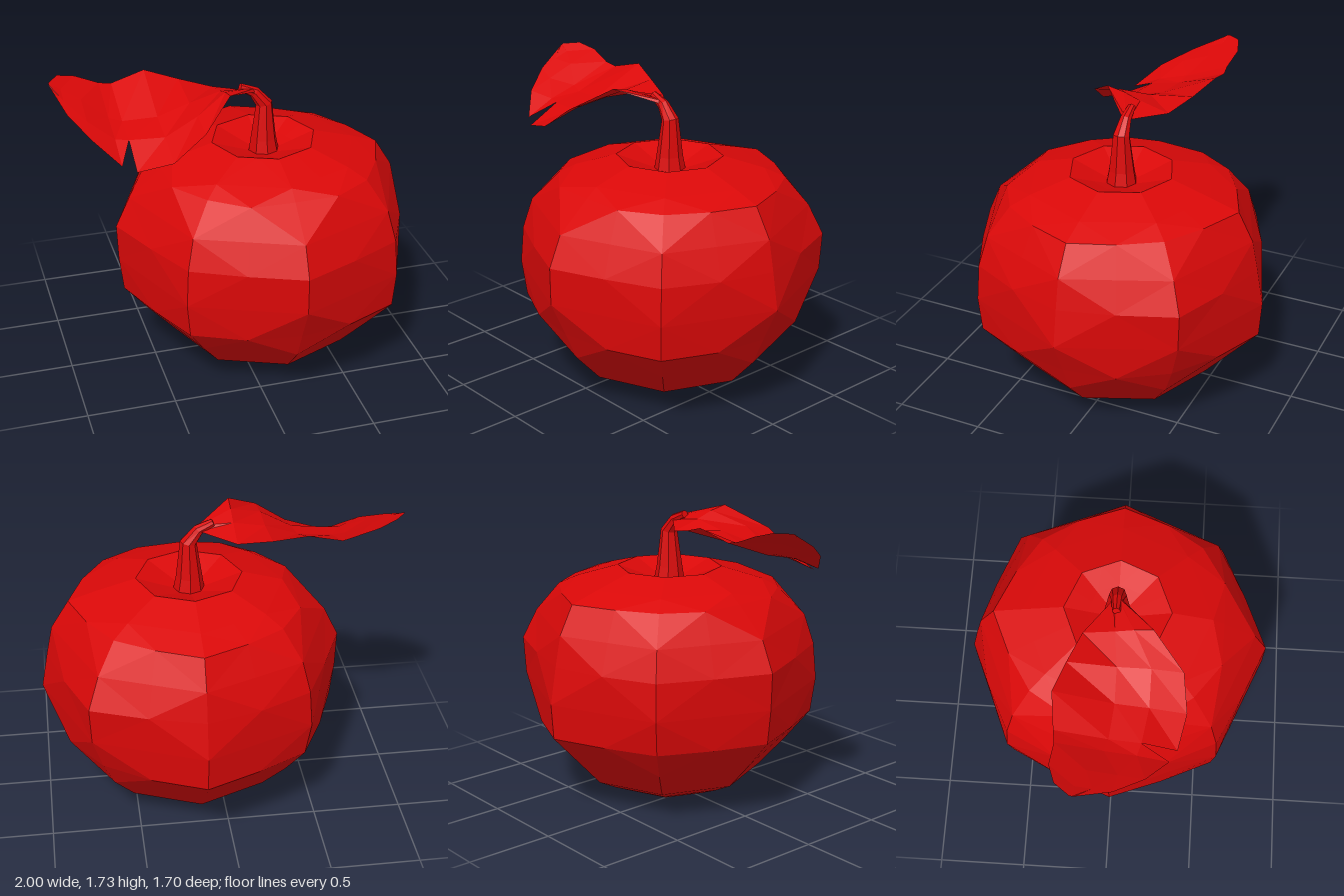
import * as THREE from 'three';

const material = new THREE.MeshStandardMaterial({ color: 0xda0808, flatShading: true, side: THREE.DoubleSide });
const CENTRE_X = 0.155;

function makeMesh(name, points, faces) {
  const geometry = new THREE.BufferGeometry();
  geometry.setAttribute('position', new THREE.Float32BufferAttribute(points.flat(), 3));
  geometry.setIndex(faces.flat());
  geometry.computeVertexNormals();
  const mesh = new THREE.Mesh(geometry, material);
  mesh.name = name;
  return mesh;
}

// Faceted body: octagonal rings with a point halfway along each side.
// Some corners are shaved flat on three of the rings, which leaves diamond facets.
function makeBody() {
  const rings = [ // height, corner radius
    [0.02, 0], [0.0, 0.155], [0.03, 0.3], [0.08, 0.41], [0.14, 0.525], [0.31, 0.68],
    [0.48, 0.835], [0.68, 0.848], [0.89, 0.85], [1.06, 0.775], [1.22, 0.685],
    [1.27, 0.525], [1.335, 0.297], [1.29, 0.17], [1.26, 0.08], [1.26, 0],
  ];
  const shaved = { // ring: corner radii, anticlockwise from the front
    6: [0.755, 0.83, 0.755, 0.77, 0.835, 0.81, 0.825, 0.82],
    8: [0.85, 0.83, 0.81, 0.86, 0.81, 0.83, 0.855, 0.83],
    10: [0.59, 0.64, 0.675, 0.64, 0.69, 0.64, 0.59, 0.62],
  };
  const sides = 16, points = [], faces = [];
  rings.forEach(([y, r], k) => {
    for (let j = 0; j < sides; j++) {
      const a = (j / sides) * Math.PI * 2;
      const corner = shaved[k] ? shaved[k][j / 2] : r;
      const radius = j % 2 ? r * Math.cos(Math.PI / 8) : corner;
      points.push([CENTRE_X + radius * Math.sin(a), y, radius * Math.cos(a)]);
    }
  });
  for (let k = 0; k < rings.length - 1; k++) {
    for (let j = 0; j < sides; j++) {
      const n = (j + 1) % sides, lo = k * sides, up = lo + sides;
      // diagonals alternate to follow the diamonds
      if ((k + j) % 2) faces.push([lo + j, lo + n, up + n], [lo + j, up + n, up + j]);
      else faces.push([lo + j, lo + n, up + j], [lo + n, up + n, up + j]);
    }
  }
  return makeMesh('fruitBody', points, faces);
}

// Stem: an eight-sided cylinder whose rings follow a bend towards the leaf.
function makeStem() {
  const rings = [ // x, y, radius, tilt; from the top down
    [0.02, 1.65, 0.022, 1.2], [0.1, 1.612, 0.032, 0.85], [0.157, 1.54, 0.047, 0.2],
    [0.155, 1.335, 0.073, 0], [0.158, 1.24, 0.09, 0],
  ];
  const geometry = new THREE.CylinderGeometry(1, 1, 1, 8, rings.length - 1);
  const p = geometry.attributes.position;
  for (let i = 0; i < p.count; i++) {
    const [x, y, r, tilt] = rings[Math.round((0.5 - p.getY(i)) * (rings.length - 1))];
    const lx = p.getX(i) * r;
    p.setXYZ(i, x + lx * Math.cos(tilt), y + lx * Math.sin(tilt), p.getZ(i) * r);
  }
  geometry.computeVertexNormals();
  const mesh = new THREE.Mesh(geometry, material);
  mesh.name = 'stem';
  return mesh;
}

// Leaf: cross-sections from the stem to the tip, with a tear in the front edge.
function makeLeaf() {
  const sections = [ // x, then z and y of the back edge, midrib, front fold and front edge
    [0.1, -0.02, 1.61, 0, 1.635, 0.01, 1.635, 0.025, 1.62],
    [-0.09, -0.17, 1.595, 0, 1.64, 0.1, 1.675, 0.2, 1.695],
    [-0.27, -0.24, 1.635, 0.02, 1.6, 0.2, 1.6, 0.37, 1.57],
    [-0.45, -0.3, 1.685, 0.02, 1.54, 0.2, 1.5, 0.4, 1.44],
    [-0.64, -0.28, 1.635, 0, 1.53, 0.17, 1.495, 0.36, 1.395],
    [-0.71, -0.27, 1.65, -0.02, 1.55, 0.15, 1.5, 0.32, 1.42],
    [-0.84, -0.285, 1.7, -0.1, 1.64, 0.06, 1.58, 0.2, 1.53],
    [-0.94, -0.25, 1.73, -0.15, 1.69, -0.06, 1.66, 0.04, 1.62],
    [-1, -0.17, 1.725, -0.16, 1.72, -0.155, 1.72, -0.15, 1.715],
  ];
  const tear = 4, points = [], faces = [];
  for (const [x, ...zy] of sections) {
    for (let c = 0; c < 4; c++) points.push([x, zy[2 * c + 1], zy[2 * c]]);
  }
  for (let s = 0; s < sections.length - 1; s++) {
    for (let c = 0; c < 3; c++) {
      const a = s * 4 + c, b = a + 4;
      faces.push([a, b, b + 1]);
      if (!(s === tear && c === 2)) faces.push([a, b + 1, a + 1]);
    }
  }
  return makeMesh('leaf', points, faces);
}

export function createModel() {
  const model = new THREE.Group();
  model.name = 'fruit';
  model.add(makeBody(), makeStem(), makeLeaf());
  return model;
}
